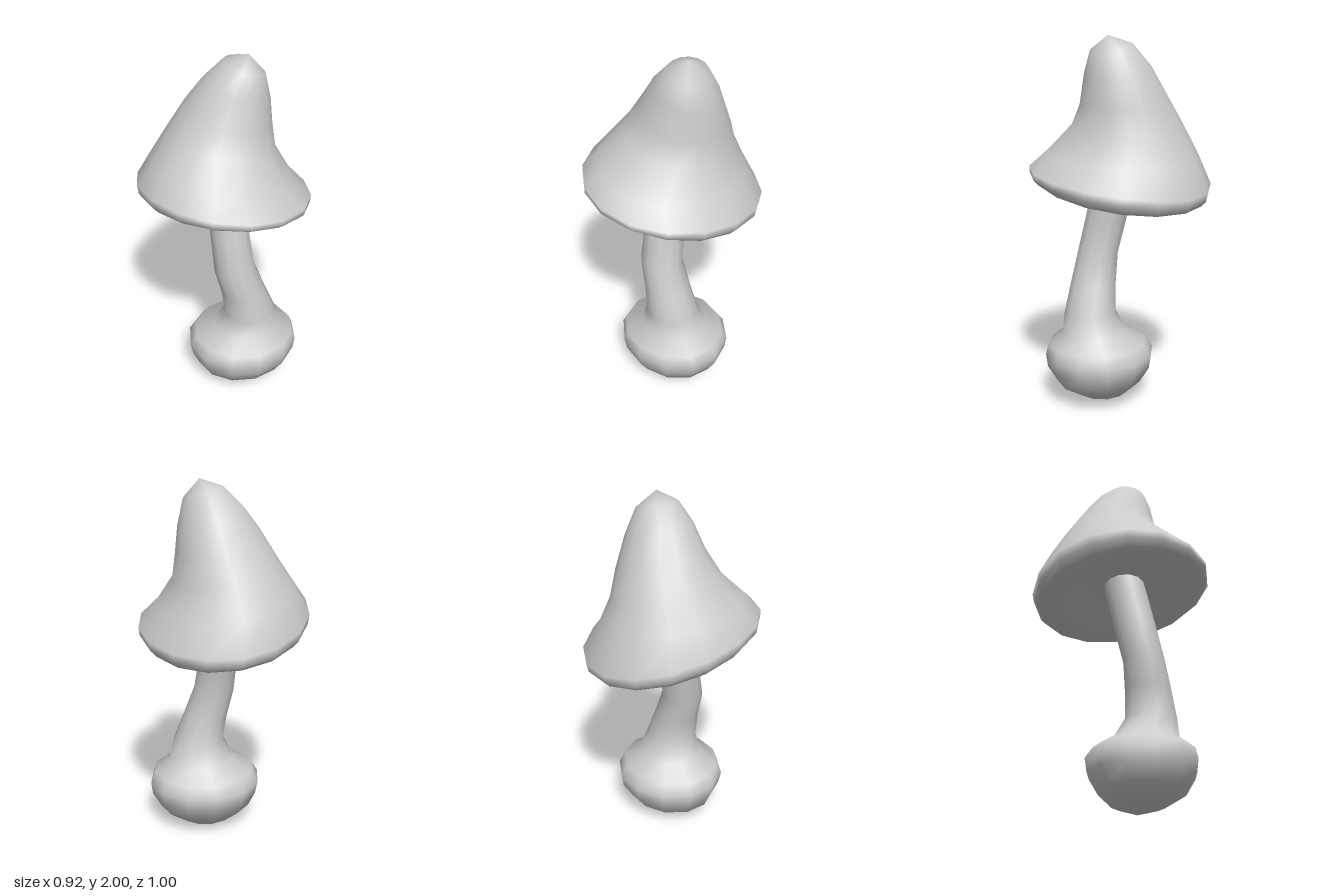
import * as THREE from 'three';

// Each ring is [left x, y, right x, y, front z, y, back z, y]: a tilted ellipse.
const flat = (y, xl, xr, zf, zb) => [xl, y, xr, y, zf, y, zb, y];
const pole = (x, y, z) => flat(y, x, x, z, z);

// Smooth skin over rings listed from the bottom upward.
function loft(name, rings, sides, phase = 0) {
  const pos = [], index = [];
  for (const [xl, yl, xr, yr, zf, yf, zb, yb] of rings) {
    const cx = (xl + xr) / 2, cz = (zf + zb) / 2, cy = (yl + yr + yf + yb) / 4;
    for (let j = 0; j < sides; j++) {
      const a = phase + (j / sides) * Math.PI * 2, c = Math.cos(a), s = Math.sin(a);
      // the mean of each axis pair bends the ring slightly out of plane
      const warp = ((yl + yr - yf - yb) / 4) * Math.cos(2 * a);
      pos.push(cx + c * (xr - xl) / 2,
        cy + c * (yr - yl) / 2 + s * (yf - yb) / 2 + warp,
        cz + s * (zf - zb) / 2);
    }
  }
  const isPole = (r) => r[0] === r[2] && r[4] === r[6];
  // a pole ring shares one vertex so that its normal stays smooth
  const id = (i, j) => i * sides + (isPole(rings[i]) ? 0 : j % sides);
  for (let i = 0; i < rings.length - 1; i++) {
    for (let j = 0; j < sides; j++) {
      const a = id(i, j), b = id(i + 1, j), c = id(i + 1, j + 1), d = id(i, j + 1);
      if (a !== d) index.push(a, b, d);
      if (b !== c) index.push(b, c, d);
    }
  }
  const geo = new THREE.BufferGeometry();
  geo.setAttribute('position', new THREE.Float32BufferAttribute(pos, 3));
  geo.setIndex(index);
  geo.computeVertexNormals();
  const mesh = new THREE.Mesh(geo, new THREE.MeshStandardMaterial({ color: 0xcccccc }));
  mesh.name = name;
  return mesh;
}

export function createModel() {
  const group = new THREE.Group();
  group.name = 'mushroom';

  // bulbous foot flowing into the bent stem
  group.add(loft('stemAndBulb', [
    pole(0.1, 0, 0.06),
    flat(0.04, -0.07, 0.24, 0.21, -0.07),
    flat(0.11, -0.18, 0.35, 0.325, -0.145),
    flat(0.2, -0.22, 0.4, 0.38, -0.2),
    flat(0.27, -0.235, 0.41, 0.39, -0.21),
    flat(0.33, -0.2, 0.385, 0.375, -0.17),
    flat(0.395, -0.085, 0.295, 0.292, -0.065),
    flat(0.5, -0.035, 0.262, 0.28, -0.005),
    flat(0.65, -0.055, 0.2, 0.262, 0.005),
    flat(0.81, -0.095, 0.14, 0.24, 0.01),
    flat(1.0, -0.1, 0.118, 0.2, -0.035),
    flat(1.2, -0.108, 0.108, 0.155, -0.08),
    flat(1.3, -0.108, 0.108, 0.13, -0.1),
  ], 12));

  // hollow underside, rolled lip, then the leaning cone of the cap
  group.add(loft('cap', [
    pole(0, 1.28, 0.02),
    [-0.17, 1.29, 0.17, 1.25, 0.21, 1.29, -0.19, 1.24],
    [-0.27, 1.24, 0.27, 1.17, 0.31, 1.25, -0.29, 1.16],
    [-0.35, 1.235, 0.35, 1.145, 0.4, 1.255, -0.38, 1.13],
    [-0.42, 1.255, 0.42, 1.14, 0.475, 1.28, -0.465, 1.12],
    [-0.455, 1.3, 0.455, 1.18, 0.5, 1.3, -0.49, 1.145],
    [-0.46, 1.35, 0.46, 1.225, 0.5, 1.33, -0.5, 1.19],
    [-0.38, 1.46, 0.36, 1.34, 0.42, 1.4, -0.43, 1.35],
    [-0.27, 1.61, 0.285, 1.48, 0.26, 1.55, -0.345, 1.52],
    [-0.18, 1.75, 0.265, 1.63, 0.2, 1.66, -0.28, 1.65],
    [-0.1, 1.86, 0.245, 1.77, 0.165, 1.82, -0.19, 1.83],
    [0, 1.96, 0.21, 1.9, 0.125, 1.93, -0.1, 1.95],
    pole(0.12, 2, 0.025),
  ], 16, 0.07));

  return group;
}
